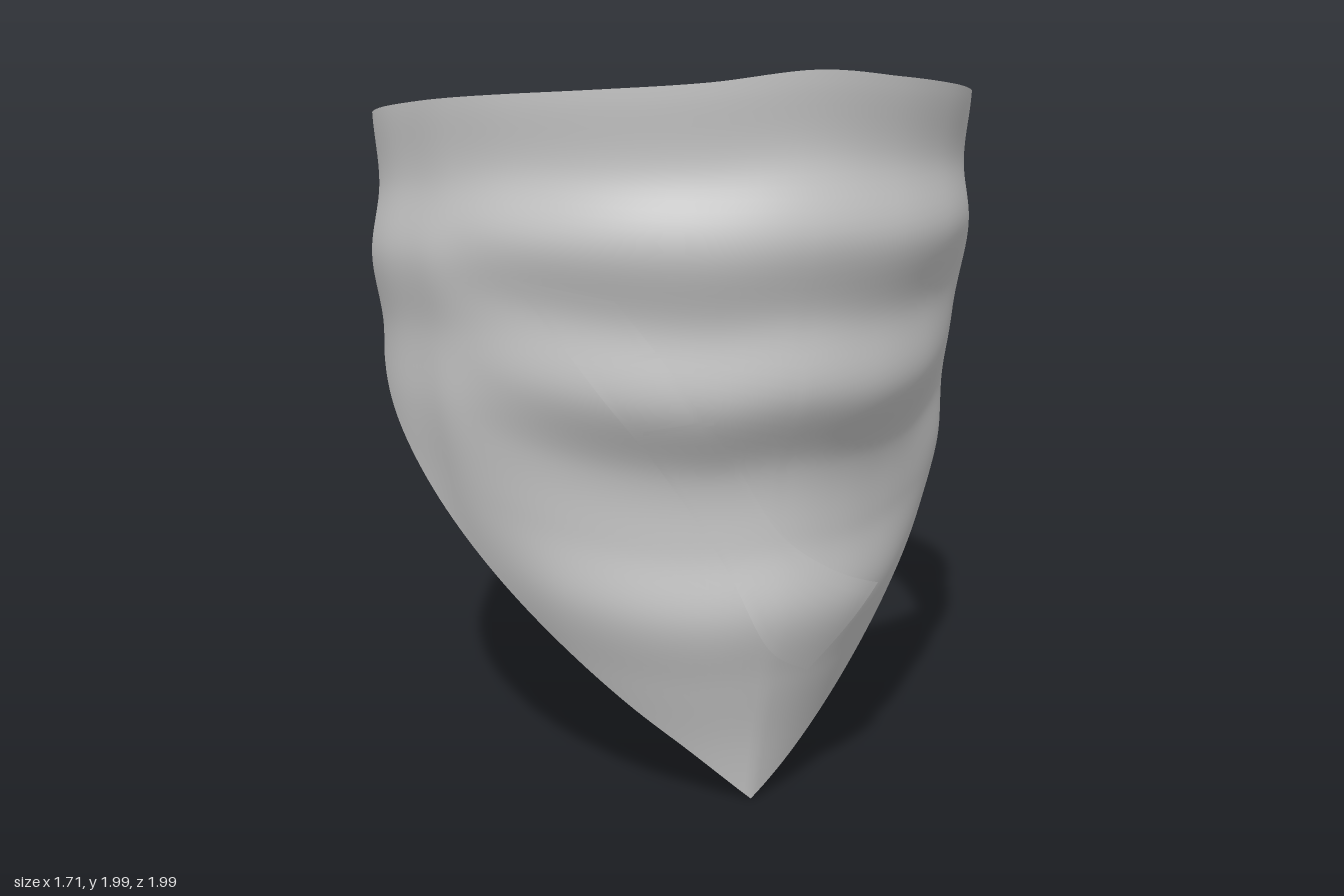
import * as THREE from 'three';
import { mergeVertices } from 'three/addons/utils/BufferGeometryUtils.js';

const V = (x, y, z = 0) => new THREE.Vector3(x, y, z);
const curve = (pts, closed = false) =>
  new THREE.CatmullRomCurve3(pts.map((p) => V(...p)), closed, 'catmullrom', 0.5);
const { clamp, lerp, smoothstep, degToRad } = THREE.MathUtils;
const TIP = degToRad(16);

// Rim radius and height, every 15 degrees round the neck from the pointed tip
const RIM = curve([
  [1, 1.985], [0.97, 1.965], [0.925, 1.942], [0.88, 1.92], [0.855, 1.9], [0.845, 1.878],
  [0.828, 1.848], [0.83, 1.818], [0.87, 1.793], [0.92, 1.773], [0.965, 1.757], [0.993, 1.75],
  [0.995, 1.75], [0.962, 1.757], [0.908, 1.77], [0.868, 1.79], [0.85, 1.815], [0.84, 1.84],
  [0.828, 1.866], [0.83, 1.888], [0.866, 1.908], [0.917, 1.925], [0.96, 1.94], [0.988, 1.957],
], true);

// Hem radius and height at the same angles, ending at the tip again
const HEM = curve([
  [0.655, 0], [0.64, 0.14], [0.655, 0.31], [0.695, 0.5], [0.745, 0.68], [0.79, 0.86],
  [0.815, 1.05], [0.825, 1.18], [0.866, 1.305], [0.92, 1.41], [0.965, 1.495], [0.993, 1.53],
  [0.995, 1.53], [0.962, 1.51], [0.908, 1.46], [0.868, 1.38], [0.85, 1.27], [0.83, 1.14],
  [0.808, 0.99], [0.77, 0.81], [0.73, 0.63], [0.695, 0.46], [0.668, 0.3], [0.655, 0.155],
  [0.655, 0],
]);

// Fold profiles: radius factor every 0.2 below the rim
const FRONT = [1, 0.975, 1.005, 0.945, 0.938, 0.835, 0.81, 0.82, 0.76, 0.7, 0.655, 0.62];
const LEFT = [1, 0.985, 1.01, 0.97, 0.952, 0.962, 0.93, 0.88, 0.82, 0.76, 0.7, 0.64];
const RIGHT = [1, 0.985, 1.018, 0.985, 0.98, 0.952, 0.92, 0.88, 0.82, 0.76, 0.7, 0.64];

function profile(list, depth) {
  const s = clamp(depth / 0.2, 0, list.length - 1.001);
  const i = Math.floor(s), t = s - i;
  const at = (k) => list[clamp(k, 0, list.length - 1)];
  const m0 = (at(i + 1) - at(i - 1)) / 2, m1 = (at(i + 2) - at(i)) / 2;
  const t2 = t * t, t3 = t2 * t;
  return at(i) * (2 * t3 - 3 * t2 + 1) + m0 * (t3 - 2 * t2 + t)
    + at(i + 1) * (3 * t2 - 2 * t3) + m1 * (t3 - t2);
}

// Radius of the folded cloth, before it is drawn in to the hem; front folds sag in the middle
function foldRadius(angle, rim, y) {
  const depth = rim.y - y;
  const facing = Math.cos(angle - 0.28);
  const front = smoothstep(facing, 0.38, 0.98);
  const back = 1 - 0.6 * smoothstep(-Math.cos(angle), 0.2, 1);
  const sides = lerp(profile(RIGHT, depth), profile(LEFT, depth),
    smoothstep(Math.sin(angle), -0.6, 0.6));
  const side = 1 + (sides - 1) * back;
  return rim.x * lerp(side, profile(FRONT, depth + 0.3 * (1 - facing) * smoothstep(depth, 0, 0.6)), front);
}

// Point on the cloth: u round the neck, at a height, pushed outwards by lift
function clothPoint(u, y, lift = 0) {
  const angle = TIP + u * Math.PI * 2;
  const rim = RIM.getPoint(u), hem = HEM.getPoint(u);
  const t = clamp((y - hem.y) / (rim.y - hem.y) / 0.45, 0, 1);
  const drawIn = (hem.x - foldRadius(angle, rim, hem.y)) * (1 - t) ** 2;
  const r = foldRadius(angle, rim, y) + drawIn + lift;
  return V(r * Math.sin(angle), y, r * Math.cos(angle));
}

// Point on the front of the cloth at a given x and y
function onFront(x, y, lift) {
  let p = V(0, y, 1);
  for (let i = 0; i < 14; i++) {
    const angle = Math.asin(clamp(x / Math.hypot(p.x, p.z), -1, 1));
    const turn = (angle - TIP) / (Math.PI * 2);
    p = clothPoint(turn - Math.floor(turn), y, lift);
  }
  return p;
}

// Smooth sheet from a rule point(u, v)
function sheet(name, nu, nv, point) {
  const pos = [], index = [];
  for (let i = 0; i <= nu; i++) {
    for (let j = 0; j <= nv; j++) pos.push(...point(i / nu, j / nv).toArray());
  }
  for (let i = 0; i < nu; i++) {
    for (let j = 0; j < nv; j++) {
      const a = i * (nv + 1) + j, b = a + nv + 1;
      index.push(a, b, a + 1, b, b + 1, a + 1);
    }
  }
  let geo = new THREE.BufferGeometry();
  geo.setAttribute('position', new THREE.Float32BufferAttribute(pos, 3));
  geo.setIndex(index);
  geo = mergeVertices(geo, 1e-5);
  geo.computeVertexNormals();
  const mesh = new THREE.Mesh(geo,
    new THREE.MeshStandardMaterial({ color: 0xcccccc, side: THREE.DoubleSide }));
  mesh.name = name;
  return mesh;
}

// Thin strip lying on the cloth between two edges, its lift changing along it
function patch(name, edgeA, edgeB, liftStart, liftEnd, nu, nv) {
  const a = curve(edgeA), b = curve(edgeB);
  return sheet(name, nu, nv, (u, v) => {
    const p = a.getPoint(u).lerp(b.getPoint(u), v);
    return onFront(p.x, p.y, lerp(liftStart, liftEnd, u));
  });
}

// Closed, softly padded tail between two edges
function tail(name, edgeA, edgeB, thick) {
  const a = curve(edgeA), b = curve(edgeB);
  return sheet(name, 20, 16, (u, v) => {
    const s = clamp((u * 20 - 1) / 18, 0, 1);
    const p = a.getPoint(s), q = b.getPoint(s);
    const mid = p.clone().add(q).multiplyScalar(0.5);
    if (u === 0 || u === 1) return mid;
    const across = p.clone().sub(q).multiplyScalar(0.5);
    const out = a.getTangent(s).cross(across).normalize().multiplyScalar(thick);
    const w = v * Math.PI * 2;
    return mid.addScaledVector(across, Math.cos(w)).addScaledVector(out, Math.sin(w));
  });
}

export function createModel() {
  const group = new THREE.Group();
  group.name = 'neckerchief';

  // Folded cloth, hem to rim
  group.add(sheet('cloth', 192, 72, (u, v) =>
    clothPoint(u, lerp(HEM.getPoint(u).y, RIM.getPoint(u).y, v))));

  // Diagonal strip on the front
  group.add(patch('frontStrip',
    [[-0.45, 1.48], [-0.25, 1.22], [-0.1, 1.02], [0.08, 0.74], [0.2, 0.5], [0.32, 0.4]],
    [[-0.2, 1.44], [-0.06, 1.26], [0.1, 1.02], [0.22, 0.82], [0.36, 0.7], [0.53, 0.6]],
    0.01, 0.022, 48, 8));

  // Two narrow bars across the strip
  for (const [x, y] of [[-0.26, 1.27], [-0.13, 1.1]]) {
    group.add(patch('stripBar',
      [[x, y], [x + 0.08, y + 0.015], [x + 0.17, y + 0.035]],
      [[x, y + 0.012], [x + 0.08, y + 0.03], [x + 0.17, y + 0.05]],
      0.022, 0.022, 8, 2));
  }

  // Tied ends at the back
  group.add(tail('innerTail',
    [[-0.08, 1.61, -0.84], [0.08, 1.63, -0.8], [0.22, 1.65, -0.72], [0.32, 1.66, -0.625]],
    [[-0.08, 1.53, -0.83], [0.08, 1.545, -0.79], [0.2, 1.565, -0.72], [0.3, 1.585, -0.63]],
    0.012));
  group.add(tail('outerTail',
    [[0.36, 1.54, -0.64], [0.44, 1.53, -0.66], [0.52, 1.53, -0.69]],
    [[0.37, 1.5, -0.73], [0.44, 1.48, -0.79], [0.52, 1.46, -0.8]],
    0.015));

  return group;
}
